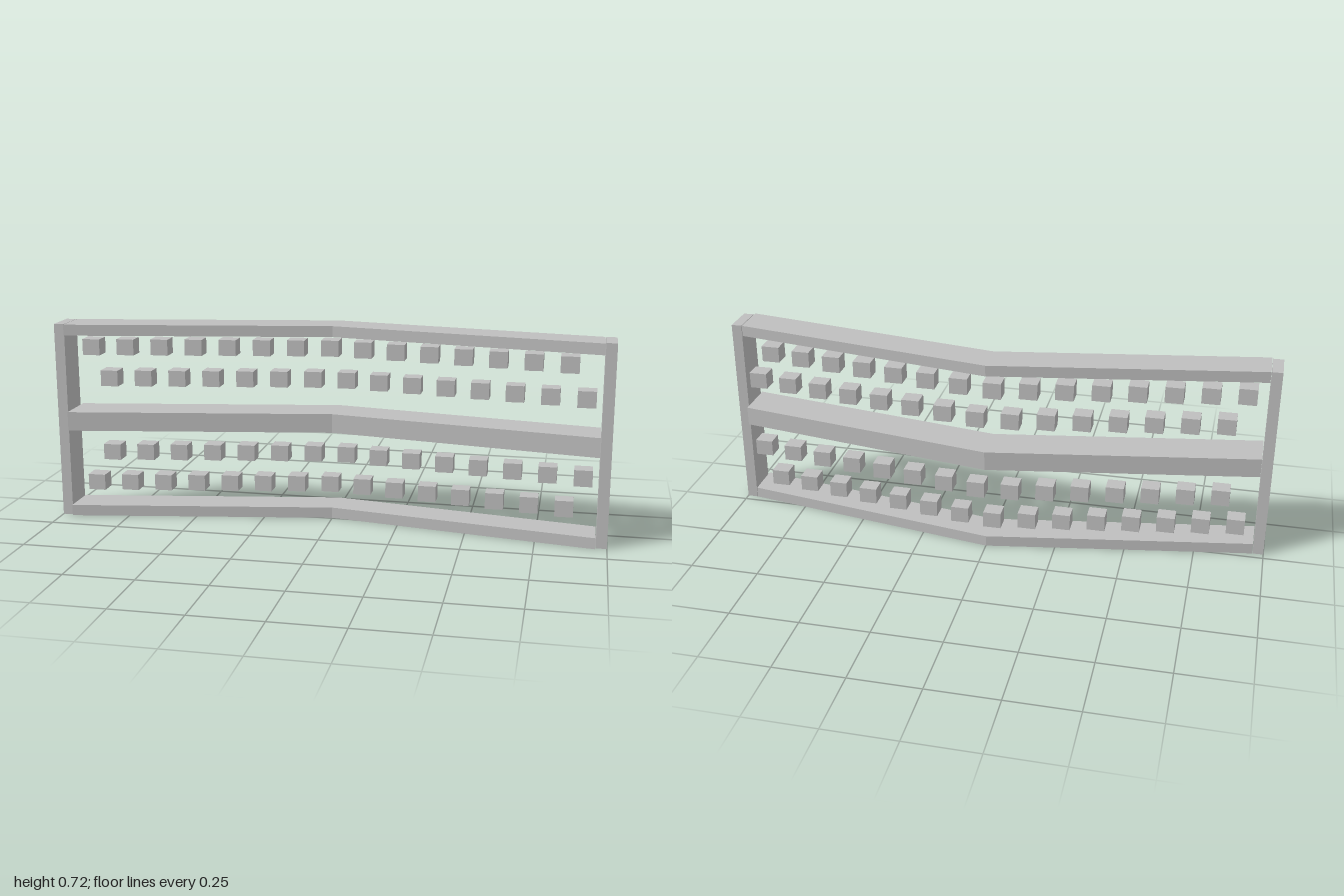
import * as THREE from 'three';

const HALF = 0.96;      // half length of the rails
const RISE = 0.161;     // how far the rail ends come forward of the bend
const FRONT = -0.005;   // front of the rails at the bend

export function createModel() {
  const group = new THREE.Group();
  const grey = new THREE.MeshStandardMaterial({ color: 0xbfbfbf });
  grey.name = 'lightGrey';

  const add = (name, geometry, x = 0, y = 0, z = 0) => {
    const mesh = new THREE.Mesh(geometry, grey);
    mesh.name = name;
    mesh.position.set(x, y, z);
    group.add(mesh);
  };

  // Bent rail: a chevron plan (shape y is -z) extruded upwards
  const rail = (name, y, height, depth) => {
    const plan = [
      [-HALF, FRONT + RISE], [0, FRONT], [HALF, FRONT + RISE],
      [HALF, FRONT + RISE - depth], [0, FRONT - depth], [-HALF, FRONT + RISE - depth],
    ].map(([x, z]) => new THREE.Vector2(x, -z));
    const geometry = new THREE.ExtrudeGeometry(new THREE.Shape(plan), { depth: height, bevelEnabled: false });
    geometry.rotateX(-Math.PI / 2);
    add(name, geometry, 0, y, 0);
  };
  rail('bottomRail', 0, 0.04, 0.13);
  rail('middleRail', 0.327, 0.07, 0.15);
  rail('topRail', 0.682, 0.04, 0.13);

  // End posts
  for (const side of [-1, 1]) {
    add(side > 0 ? 'leftPost' : 'rightPost', new THREE.BoxGeometry(0.038, 0.722, 0.119), side * 0.981, 0.361, 0.086);
  }

  // Staggered rows of small blocks that follow the bend
  const block = new THREE.BoxGeometry(0.065, 0.059, 0.062);
  const rows = [
    ['lowerOuterBlock', 0.11, -0.891],
    ['lowerInnerBlock', 0.228, -0.829],
    ['upperInnerBlock', 0.51, -0.829],
    ['upperOuterBlock', 0.627, -0.891],
  ];
  for (const [name, y, start] of rows) {
    for (let i = 0; i < 15; i++) {
      const x = start + i * 0.1241;
      add(name, block, x, y, -0.1375 + Math.abs(x) * 0.167 + 0.031);
    }
  }
  return group;
}
